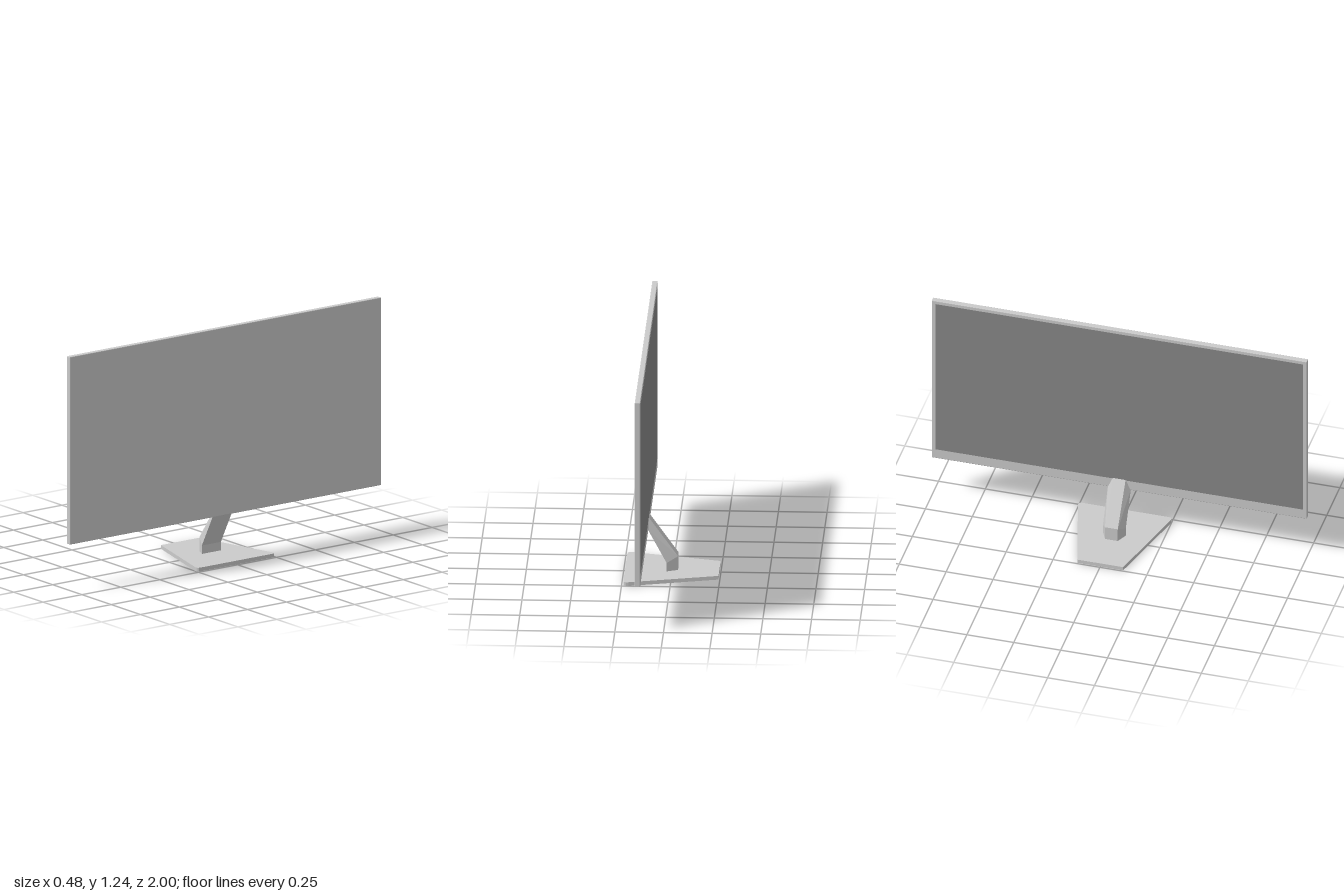
import * as THREE from 'three';
import { RoundedBoxGeometry } from 'three/addons/geometries/RoundedBoxGeometry.js';

const grey = new THREE.MeshStandardMaterial({ color: 0xcccccc, flatShading: true });
const dark = new THREE.MeshStandardMaterial({ color: 0x888888 });

function part(name, geometry, material = grey) {
  const mesh = new THREE.Mesh(geometry, material);
  mesh.name = name;
  return mesh;
}

// Lofts four-cornered sections; each is [narrow x, narrow y, wide x, wide y].
function loftStand(sections, narrow, wide) {
  const rings = sections.map(([nx, ny, wx, wy]) => [
    [nx, ny, narrow], [wx, wy, wide], [wx, wy, -wide], [nx, ny, -narrow],
  ]);
  const pos = [];
  const tri = (...corners) => corners.forEach((c) => pos.push(...c));
  for (let s = 0; s < rings.length - 1; s++) {
    const lo = rings[s], hi = rings[s + 1];
    for (let i = 0; i < 4; i++) {
      const j = (i + 1) % 4;
      // The far side uses the mirrored diagonal
      if (i === 2) {
        tri(lo[i], lo[j], hi[i]);
        tri(lo[j], hi[j], hi[i]);
      } else {
        tri(lo[i], lo[j], hi[j]);
        tri(lo[i], hi[j], hi[i]);
      }
    }
  }
  const [a, b, c, d] = rings[0];
  tri(a, c, b);
  tri(a, d, c);
  const [e, f, g, h] = rings[rings.length - 1];
  tri(e, f, g);
  tri(e, g, h);
  const geometry = new THREE.BufferGeometry();
  geometry.setAttribute('position', new THREE.Float32BufferAttribute(pos, 3));
  geometry.computeVertexNormals();
  return geometry;
}

export function createModel() {
  const model = new THREE.Group();
  model.name = 'monitor';

  // Tapered foot plate with softened wide corners
  const outline = new THREE.Shape();
  outline.moveTo(-0.243, -0.122);
  outline.lineTo(0.215, -0.247);
  outline.quadraticCurveTo(0.241, -0.253, 0.241, -0.23);
  outline.lineTo(0.241, 0.23);
  outline.quadraticCurveTo(0.241, 0.253, 0.215, 0.247);
  outline.lineTo(-0.243, 0.122);
  outline.closePath();
  const plate = new THREE.ExtrudeGeometry(outline, { depth: 0.02, bevelEnabled: false, curveSegments: 4 });
  plate.rotateX(-Math.PI / 2);
  model.add(part('base', plate));

  // Bent stand: short upright, then a sloping arm
  model.add(part('standArm', loftStand([
    [-0.031, 0.018, 0.026, 0.018],
    [-0.031, 0.094, 0.026, 0.065],
    [0.122, 0.306, 0.122, 0.243],
  ], 0.034, 0.061)));

  // Display housing
  const housing = part('housing', new RoundedBoxGeometry(0.028, 0.997, 2, 1, 0.003));
  housing.position.set(0.134, 0.7415, 0);
  model.add(housing);

  // Screen, with thin borders and a deeper lower one
  const screen = part('screen', new THREE.BoxGeometry(0.004, 0.922, 1.96), dark);
  screen.position.set(0.1213, 0.76, 0);
  model.add(screen);

  return model;
}
